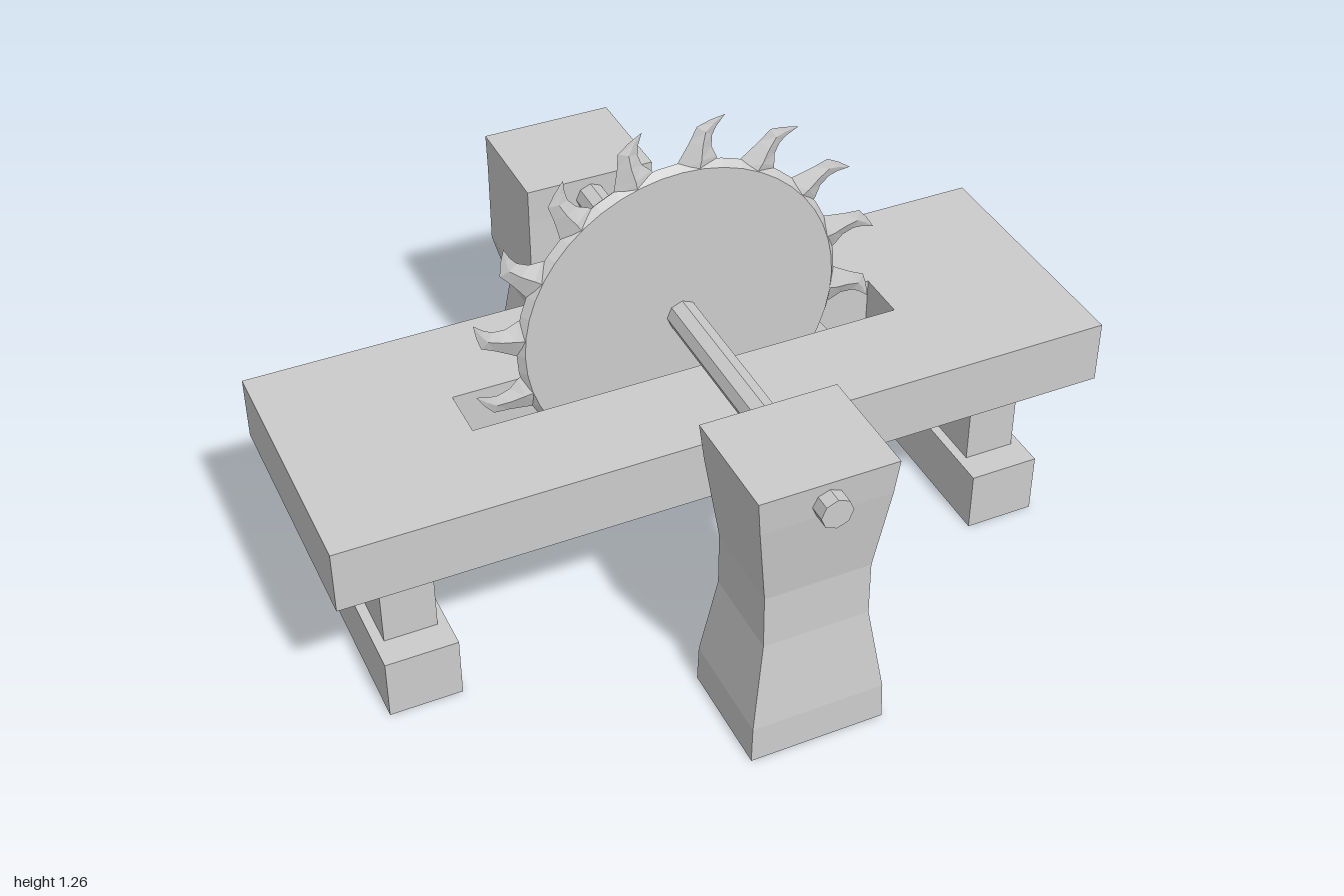
import * as THREE from 'three';

const material = new THREE.MeshStandardMaterial({ color: 0xcccccc, flatShading: true });
const ZC = 0.013; // centre plane of table and blade
const AXLE_Y = 0.733;

function add(parent, name, geometry, x = 0, y = 0, z = 0) {
  const mesh = new THREE.Mesh(geometry, material);
  mesh.name = name;
  mesh.position.set(x, y, z);
  parent.add(mesh);
  return mesh;
}

// Square post lofted through levels of [y, half width, half depth]
function postGeometry(levels) {
  const n = levels.length - 1;
  const geometry = new THREE.BoxGeometry(2, n, 2, 1, n, 1);
  const p = geometry.attributes.position;
  for (let i = 0; i < p.count; i++) {
    const [y, hx, hz] = levels[Math.round(p.getY(i) + n / 2)];
    p.setXYZ(i, p.getX(i) * hx, y, p.getZ(i) * hz);
  }
  geometry.computeVertexNormals();
  return geometry;
}

// Hooked tooth: diamond sections running from the disc rim to a sharp tip.
// Each section is [back angle, back radius, front angle, front radius, half thickness],
// with angles in degrees counter-clockwise from the tip.
function toothGeometry() {
  const sections = [
    [16, 0.39, -3, 0.39, 0.019],
    [12, 0.432, -0.5, 0.425, 0.017],
    [9.2, 0.472, 2, 0.452, 0.012],
    [7.5, 0.508, 2.5, 0.483, 0.007],
    [4, 0.522, 1.7, 0.506, 0.003],
    [0, 0.535, 0, 0.535, 0],
  ];
  const polar = (deg, r) => {
    const a = THREE.MathUtils.degToRad(deg);
    return [r * Math.cos(a), r * Math.sin(a)];
  };
  const positions = [];
  for (const [ba, br, fa, fr, t] of sections) {
    const [bx, by] = polar(ba, br);
    const [fx, fy] = polar(fa, fr);
    const mx = (bx + fx) / 2, my = (by + fy) / 2;
    positions.push(fx, fy, 0, mx, my, t, bx, by, 0, mx, my, -t);
  }
  const index = [];
  for (let s = 0; s < sections.length - 1; s++) {
    for (let k = 0; k < 4; k++) {
      const a = s * 4 + k, b = s * 4 + (k + 1) % 4;
      index.push(a, a + 4, b, b, a + 4, b + 4);
    }
  }
  const geometry = new THREE.BufferGeometry();
  geometry.setAttribute('position', new THREE.Float32BufferAttribute(positions, 3));
  geometry.setIndex(index);
  geometry.computeVertexNormals();
  return geometry;
}

export function createModel() {
  const model = new THREE.Group();
  model.name = 'tableSaw';

  // Table top with a slot for the blade
  const top = new THREE.Shape();
  top.moveTo(-1, -0.34).lineTo(1, -0.34).lineTo(1, 0.34).lineTo(-1, 0.34).closePath();
  const slot = new THREE.Path();
  slot.moveTo(-0.563, -0.068).lineTo(-0.563, 0.068).lineTo(0.563, 0.068).lineTo(0.563, -0.068).closePath();
  top.holes.push(slot);
  const topGeometry = new THREE.ExtrudeGeometry(top, { depth: 0.168, bevelEnabled: false });
  topGeometry.rotateX(-Math.PI / 2);
  add(model, 'tableTop', topGeometry, 0, 0.436, ZC);

  // Legs standing on wider feet
  for (const side of [-1, 1]) {
    add(model, 'tableLeg', new THREE.BoxGeometry(0.135, 0.27, 0.41), side * 0.797, 0.3, ZC);
    add(model, 'tableFoot', new THREE.BoxGeometry(0.185, 0.165, 0.567), side * 0.797, 0.0825, ZC);
  }

  // Posts carrying the axle
  add(model, 'frontPost', postGeometry([
    [0, 0.173, 0.148], [0.1, 0.17, 0.146], [0.33, 0.135, 0.118],
    [0.475, 0.135, 0.116], [0.7, 0.164, 0.141], [0.793, 0.173, 0.148],
  ]), 0, 0, 0.64);
  add(model, 'backPost', postGeometry([
    [0, 0.173, 0.149], [0.1, 0.17, 0.147], [0.33, 0.137, 0.121],
    [0.47, 0.172, 0.149], [0.7, 0.172, 0.147], [0.793, 0.173, 0.149],
  ]), 0, 0, -0.676);

  // Axle
  const axle = new THREE.CylinderGeometry(0.04, 0.04, 1.425, 8);
  axle.rotateX(Math.PI / 2);
  add(model, 'axle', axle, 0, AXLE_Y, 0.1125);

  // Blade: disc with a sharpened rim, ringed with hooked teeth
  const blade = new THREE.Group();
  blade.name = 'blade';
  blade.position.set(0, AXLE_Y, ZC);
  const profile = [[0, -0.019], [0.405, -0.019], [0.42, 0], [0.405, 0.019], [0, 0.019]];
  const disc = new THREE.LatheGeometry(profile.map(([r, y]) => new THREE.Vector2(r, y)), 48);
  disc.rotateX(Math.PI / 2);
  add(blade, 'bladeDisc', disc);
  const tooth = toothGeometry();
  const count = 16;
  for (let i = 0; i < count; i++) {
    add(blade, 'bladeTooth', tooth).rotation.z = THREE.MathUtils.degToRad(10) + (i / count) * Math.PI * 2;
  }
  model.add(blade);

  return model;
}
